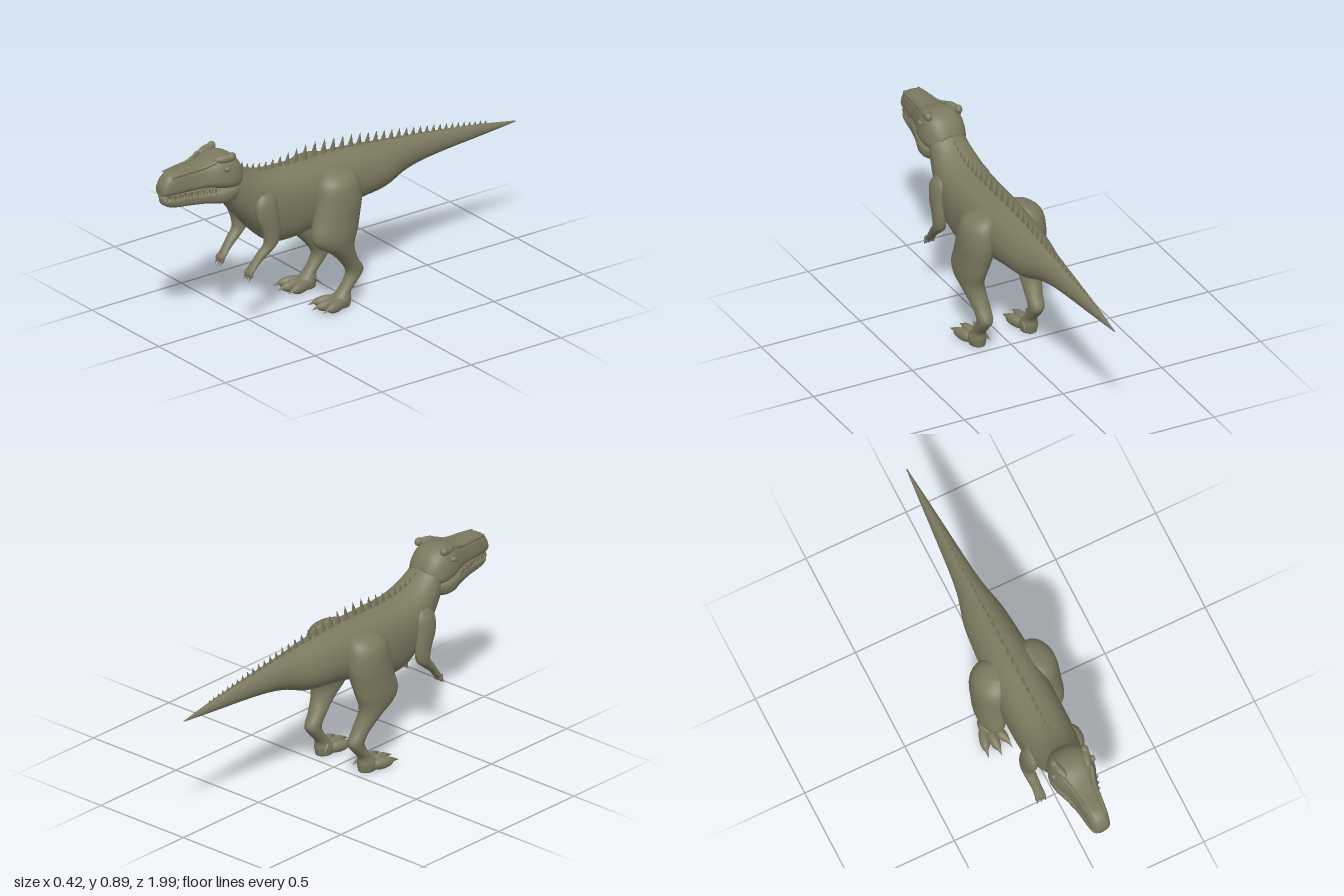
import * as THREE from 'three';

const hide = new THREE.MeshStandardMaterial({ color: 0x7c7960 });
hide.name = 'olive hide';

// Catmull-Rom interpolation between rows of numbers
function sampleRows(rows, t) {
  const f = t * (rows.length - 1);
  const i = Math.min(Math.floor(f), rows.length - 2);
  const u = f - i;
  const at = (k) => rows[Math.max(0, Math.min(rows.length - 1, k))];
  return rows[i].map((p1, c) => {
    const p0 = at(i - 1)[c], p2 = at(i + 1)[c], p3 = at(i + 2)[c];
    return p1 + 0.5 * u * (p2 - p0 + u * (2 * p0 - 5 * p1 + 4 * p2 - p3 + u * (3 * (p1 - p2) + p3 - p0)));
  });
}

// Closed skin over interpolated cross-sections; faces always turn outward
function loft(rows, place, sides = 28, sub = 4) {
  const pos = [], index = [];
  const n = (rows.length - 1) * sub;
  for (let i = 0; i <= n; i++) {
    const row = sampleRows(rows, i / n);
    for (let j = 0; j < sides; j++) {
      const a = (j / sides) * Math.PI * 2;
      pos.push(...place(row, Math.cos(a), Math.sin(a)));
    }
  }
  for (let i = 0; i < n; i++) {
    for (let j = 0; j < sides; j++) {
      const a = i * sides + j, b = i * sides + (j + 1) % sides;
      index.push(a, b, a + sides, b, b + sides, a + sides);
    }
  }
  for (const ring of [0, n]) {
    const c = [0, 0, 0];
    for (let j = 0; j < sides; j++) for (let k = 0; k < 3; k++) c[k] += pos[(ring * sides + j) * 3 + k] / sides;
    const centre = pos.length / 3;
    pos.push(...c);
    for (let j = 0; j < sides; j++) {
      const a = ring * sides + j, b = ring * sides + (j + 1) % sides;
      if (ring === 0) index.push(centre, b, a); else index.push(centre, a, b);
    }
  }
  let volume = 0;
  const v = (k) => new THREE.Vector3().fromArray(pos, index[k] * 3);
  for (let k = 0; k < index.length; k += 3) volume += v(k).dot(v(k + 1).cross(v(k + 2)));
  if (volume < 0) index.reverse();
  const g = new THREE.BufferGeometry();
  g.setAttribute('position', new THREE.Float32BufferAttribute(pos, 3));
  g.setIndex(index);
  g.computeVertexNormals();
  return g;
}

// Upright section: [z, bottom, top, half width low, half width high, squareness]
function alongZ([z, lo, hi, wLo, wHi, e], c, s) {
  const pow = (q) => Math.sign(q) * Math.abs(q) ** e;
  const h = (pow(s) + 1) / 2;
  return [pow(c) * (wLo + (wHi - wLo) * h), lo + (hi - lo) * h, z];
}

// Level section: [y, x, z, x radius, z radius]
const alongY = (side) => ([y, x, z, rx, rz], c, s) => [side * (x + rx * c), y, z + rz * s];

function add(parent, name, geometry) {
  const m = new THREE.Mesh(geometry, hide);
  m.name = name;
  parent.add(m);
  return m;
}

function ellipsoid(parent, name, p, r, turn = 0) {
  const m = add(parent, name, new THREE.SphereGeometry(1, 18, 12));
  m.position.set(...p);
  m.scale.set(...r);
  m.rotation.y = turn;
  return m;
}

// Cone from a base point to a tip
function spike(parent, name, base, tip, r, sides = 7) {
  const a = new THREE.Vector3(...base), d = new THREE.Vector3(...tip).sub(a);
  const m = add(parent, name, new THREE.ConeGeometry(r, d.length(), sides));
  m.position.copy(a).addScaledVector(d, 0.5);
  m.quaternion.setFromUnitVectors(new THREE.Vector3(0, 1, 0), d.normalize());
  return m;
}

const bodyRows = [
  [-0.995, 0.575, 0.58, 0.003, 0.002, 1], [-0.8, 0.56, 0.614, 0.021, 0.018, 1],
  [-0.6, 0.547, 0.642, 0.04, 0.033, 1], [-0.45, 0.531, 0.66, 0.054, 0.046, 1],
  [-0.34, 0.507, 0.672, 0.072, 0.06, 1], [-0.22, 0.465, 0.684, 0.108, 0.085, 1],
  [-0.08, 0.45, 0.697, 0.122, 0.1, 0.95], [0.08, 0.42, 0.705, 0.125, 0.118, 0.9],
  [0.22, 0.37, 0.704, 0.125, 0.13, 0.85], [0.34, 0.357, 0.707, 0.12, 0.135, 0.85],
  [0.42, 0.378, 0.715, 0.115, 0.133, 0.85], [0.5, 0.45, 0.74, 0.108, 0.122, 0.85],
  [0.56, 0.515, 0.78, 0.1, 0.105, 0.88], [0.61, 0.575, 0.825, 0.088, 0.09, 0.9],
  [0.66, 0.65, 0.84, 0.075, 0.075, 0.9],
];
const skullRows = [
  [0.565, 0.72, 0.79, 0.06, 0.05, 0.8], [0.6, 0.705, 0.845, 0.102, 0.07, 0.75],
  [0.65, 0.705, 0.872, 0.117, 0.085, 0.68], [0.71, 0.72, 0.872, 0.113, 0.08, 0.65],
  [0.77, 0.735, 0.853, 0.088, 0.062, 0.62], [0.84, 0.735, 0.845, 0.067, 0.05, 0.6],
  [0.92, 0.735, 0.845, 0.056, 0.045, 0.62], [0.965, 0.735, 0.83, 0.05, 0.038, 0.7],
  [0.99, 0.738, 0.8, 0.038, 0.03, 0.8], [0.998, 0.745, 0.78, 0.022, 0.016, 0.9],
];
const jawRows = [
  [0.59, 0.675, 0.73, 0.06, 0.08, 0.8], [0.64, 0.645, 0.735, 0.093, 0.108, 0.7],
  [0.7, 0.643, 0.732, 0.095, 0.107, 0.65], [0.77, 0.656, 0.727, 0.074, 0.083, 0.65],
  [0.85, 0.664, 0.725, 0.054, 0.061, 0.65], [0.93, 0.672, 0.725, 0.043, 0.051, 0.7],
  [0.97, 0.684, 0.725, 0.033, 0.041, 0.75], [0.985, 0.7, 0.722, 0.015, 0.02, 0.9],
];
const legRows = [
  [0.67, 0.09, 0.08, 0.02, 0.04], [0.65, 0.105, 0.085, 0.056, 0.08],
  [0.61, 0.115, 0.09, 0.081, 0.108], [0.53, 0.125, 0.093, 0.083, 0.12],
  [0.45, 0.135, 0.11, 0.074, 0.122], [0.38, 0.145, 0.127, 0.065, 0.122],
  [0.33, 0.147, 0.122, 0.057, 0.1], [0.28, 0.142, 0.083, 0.049, 0.064],
  [0.22, 0.133, 0.038, 0.041, 0.046], [0.165, 0.13, 0.005, 0.036, 0.044],
  [0.12, 0.13, 0.026, 0.033, 0.036], [0.075, 0.13, 0.063, 0.033, 0.034],
  [0.04, 0.13, 0.08, 0.042, 0.05], [0.005, 0.13, 0.08, 0.036, 0.045],
];
const armRows = [
  [0.65, 0.105, 0.48, 0.015, 0.03], [0.61, 0.113, 0.485, 0.03, 0.055],
  [0.54, 0.119, 0.48, 0.031, 0.058], [0.47, 0.121, 0.462, 0.028, 0.047],
  [0.41, 0.119, 0.463, 0.028, 0.037], [0.37, 0.114, 0.5, 0.026, 0.032],
  [0.33, 0.109, 0.54, 0.023, 0.021], [0.3, 0.107, 0.565, 0.025, 0.017],
  [0.28, 0.106, 0.578, 0.022, 0.011],
];

function buildHead() {
  const head = new THREE.Group();
  head.name = 'head';
  add(head, 'skull', loft(skullRows, alongZ));
  add(head, 'lowerJaw', loft(jawRows, alongZ));
  ellipsoid(head, 'mouthLining', [0, 0.73, 0.82], [0.05, 0.012, 0.15]);
  for (const s of [-1, 1]) {
    // Brow ridge ending in a small horn
    ellipsoid(head, 'browRidge', [s * 0.068, 0.862, 0.685], [0.02, 0.02, 0.052], s * -0.25);
    ellipsoid(head, 'browHorn', [s * 0.077, 0.867, 0.65], [0.017, 0.02, 0.022]);
    ellipsoid(head, 'eye', [s * 0.097, 0.822, 0.69], [0.012, 0.013, 0.016]);
    const snoutRidge = new THREE.CatmullRomCurve3([[0.07, 0.858, 0.73], [0.051, 0.838, 0.8], [0.042, 0.834, 0.88], [0.034, 0.828, 0.955]]
      .map(([x, y, z]) => new THREE.Vector3(s * x, y, z)));
    add(head, 'snoutRidge', new THREE.TubeGeometry(snoutRidge, 16, 0.009, 8));
    // Teeth along both jaws
    for (let i = 0; i < 9; i++) {
      const z = 0.75 + i * 0.027;
      const x = s * (0.082 - 0.044 * Math.min(1, (z - 0.75) / 0.15) - (i > 7 ? 0.008 : 0));
      spike(head, 'upperTooth', [x * 1.12, 0.742, z], [x * 1.1, 0.7 + (i % 3) * 0.006, z - 0.004], 0.006, 5);
      spike(head, 'lowerTooth', [x, 0.718, z + 0.012], [x, 0.743, z + 0.01], 0.005, 5);
    }
  }
  return head;
}

function buildLeg(s) {
  const leg = new THREE.Group();
  leg.name = s > 0 ? 'leftLeg' : 'rightLeg';
  add(leg, 'thighAndShin', loft(legRows, alongY(s)));
  // Three splayed toes with claws
  for (const k of [-1, 0, 1]) {
    const x = s * 0.132 + k * 0.037, z = k ? 0.133 : 0.15;
    ellipsoid(leg, 'toe', [x, 0.03, z], [0.024, 0.028, 0.062], k * 0.3);
    spike(leg, 'toeClaw', [x + k * 0.012, 0.038, z + 0.038], [x + k * 0.022, 0.024, z + 0.092], 0.014);
  }
  spike(leg, 'dewClaw', [s * 0.1, 0.055, 0.065], [s * 0.085, 0.03, 0.03], 0.012);
  return leg;
}

function buildArm(s) {
  const arm = new THREE.Group();
  arm.name = s > 0 ? 'leftArm' : 'rightArm';
  add(arm, 'upperArmAndForearm', loft(armRows, alongY(s), 20));
  for (const k of [-1, 0, 1]) {
    const x = s * 0.107 + k * 0.017;
    ellipsoid(arm, 'finger', [x, 0.285, 0.577], [0.009, 0.02, 0.011]);
    spike(arm, 'fingerClaw', [x, 0.282, 0.58], [x + k * 0.004, 0.252, 0.591], 0.007);
  }
  return arm;
}

function buildSpines() {
  const spines = new THREE.Group();
  spines.name = 'backSpines';
  // Height of the back at a given z
  const backY = (z) => {
    const i = Math.max(1, bodyRows.findIndex((r) => r[0] >= z));
    const a = bodyRows[i - 1], b = bodyRows[i];
    return THREE.MathUtils.lerp(a[2], b[2], (z - a[0]) / (b[0] - a[0]));
  };
  // Flat blades, tallest over the shoulders and shrinking down the tail
  for (let z = 0.54; z > -0.84;) {
    const h = z > 0.15 ? THREE.MathUtils.mapLinear(z, 0.54, 0.15, 0.018, 0.08)
      : THREE.MathUtils.mapLinear(z, 0.15, -0.84, 0.075, 0.014);
    const r = 0.012 + h * 0.16;
    const y = backY(z);
    const blade = spike(spines, 'spine', [0, y - 0.012, z], [0, y + h, z - 0.004 - h * 0.12], r, 6);
    blade.scale.x = 0.3;
    z -= 0.022 + h * 0.42;
  }
  return spines;
}

export function createModel() {
  const model = new THREE.Group();
  model.name = 'dinosaur';
  add(model, 'bodyAndTail', loft(bodyRows, alongZ, 36));
  model.add(buildHead(), buildSpines());
  for (const s of [-1, 1]) model.add(buildLeg(s), buildArm(s));
  return model;
}
